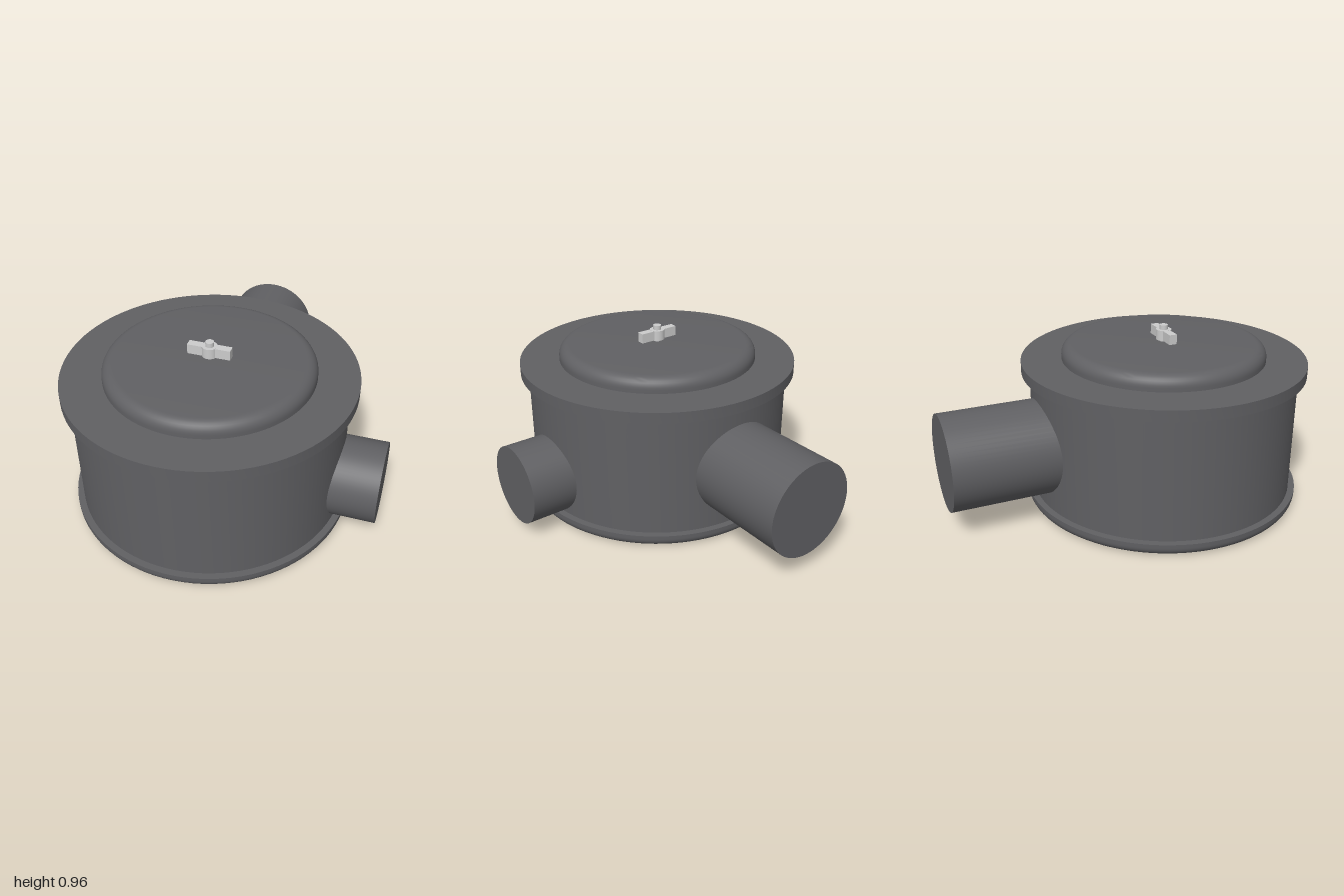
import * as THREE from 'three';
import { toCreasedNormals } from 'three/addons/utils/BufferGeometryUtils.js';

const dark = new THREE.MeshStandardMaterial({ color: 0x606063 });
const grey = new THREE.MeshStandardMaterial({ color: 0xcccccc });

function add(parent, name, geometry, material, x = 0, y = 0, z = 0) {
  const mesh = new THREE.Mesh(geometry, material);
  mesh.name = name;
  mesh.position.set(x, y, z);
  parent.add(mesh);
  return mesh;
}

// Solid of revolution with sharp edges kept; profile runs bottom to top
function turned(points) {
  const profile = points.map(([r, y]) => new THREE.Vector2(r, y));
  return toCreasedNormals(new THREE.LatheGeometry(profile, 96), 0.6);
}

// Quarter-circle of profile points around (cx, cy)
function fillet(cx, cy, r, from) {
  return Array.from({ length: 9 }, (_, i) => {
    const a = from + (i / 8) * Math.PI / 2;
    return [cx + r * Math.cos(a), cy + r * Math.sin(a)];
  });
}

export function createModel() {
  const model = new THREE.Group();
  model.name = 'canisterHousing';

  // Everything is arranged around the drum axis
  const drum = new THREE.Group();
  drum.name = 'drum';
  drum.position.set(-0.09, 0, 0.23);
  model.add(drum);

  // Base pan with rounded lower edge
  add(drum, 'basePan', turned([
    [0, 0], ...fillet(0.708, 0.05, 0.05, -Math.PI / 2), [0.758, 0.07], [0, 0.07],
  ]), dark);

  // Drum wall and top flange
  add(drum, 'drumWall', turned([[0, 0.06], [0.723, 0.06], [0.723, 0.74], [0, 0.74]]), dark);
  add(drum, 'topFlange', turned([[0, 0.73], [0.767, 0.73], [0.767, 0.79], [0, 0.79]]), dark);

  // Raised lid with rounded upper edge
  add(drum, 'lid', turned([
    [0, 0.78], [0.55, 0.78], ...fillet(0.49, 0.81, 0.06, 0), [0, 0.87],
  ]), dark);

  // Side pipe towards +x, starting inside the wall
  const side = add(drum, 'sidePipe', new THREE.CylinderGeometry(0.215, 0.215, 0.34, 64), dark, 0.77, 0.265, 0);
  side.rotation.z = -Math.PI / 2;

  // Larger rear pipe towards -z
  const rear = add(drum, 'rearPipe', new THREE.CylinderGeometry(0.254, 0.254, 0.63, 64), dark, 0, 0.38, -0.915);
  rear.rotation.x = -Math.PI / 2;

  // Wing nut on its stud
  const nut = new THREE.Group();
  nut.name = 'wingNut';
  nut.position.y = 0.908;
  drum.add(nut);
  add(nut, 'stud', new THREE.CylinderGeometry(0.022, 0.022, 0.1, 24), grey, 0, 0.002, 0);
  add(nut, 'hub', new THREE.CylinderGeometry(0.041, 0.041, 0.055, 32), grey);
  for (const s of [-1, 1]) {
    add(nut, s > 0 ? 'leftWing' : 'rightWing', new THREE.BoxGeometry(0.09, 0.053, 0.042), grey, s * 0.069, 0, 0);
  }

  return model;
}
